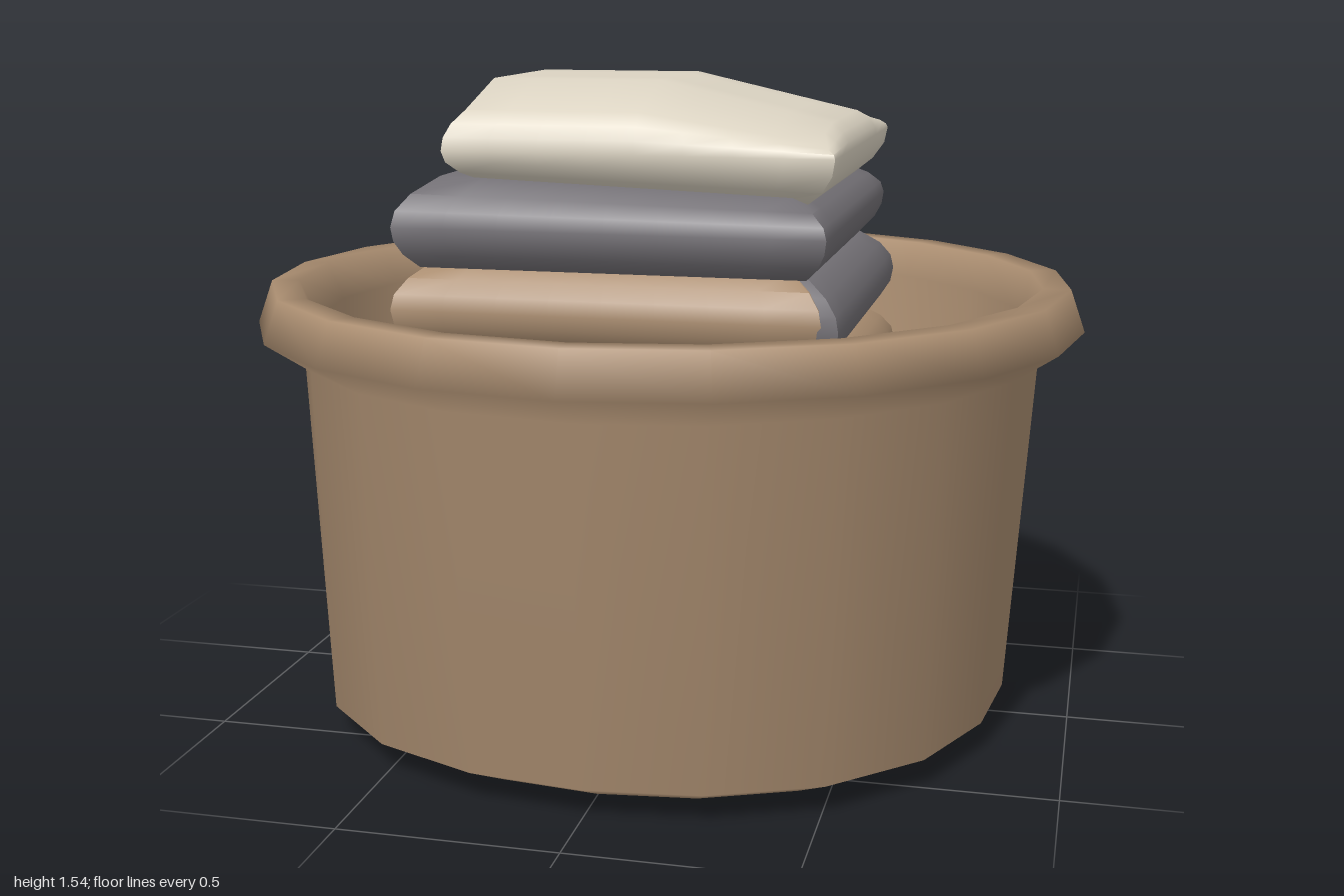
import * as THREE from 'three';
import { mergeVertices, toCreasedNormals } from 'three/addons/utils/BufferGeometryUtils.js';

const brown = new THREE.MeshStandardMaterial({ name: 'warm brown', color: 0xab8e71 });
const grey = new THREE.MeshStandardMaterial({ name: 'slate grey', color: 0x737075 });
const cream = new THREE.MeshStandardMaterial({ name: 'cream', color: 0xdbd3c2 });

// Soft folded towel: a box drawn in towards its bottom and top (inset),
// with optional rules that bend it in height and push it in depth.
function towel(name, material, { x, y, z, inset = [0.07, 0.08], bend = () => 0, push = () => 0 }) {
  let geo = new THREE.BoxGeometry(2, 2, 2, 8, 6, 8);
  geo.deleteAttribute('normal');
  geo.deleteAttribute('uv');
  geo = mergeVertices(geo);
  const p = geo.attributes.position;
  const w = (x[1] - x[0]) / 2, h = (y[1] - y[0]) / 2, d = (z[1] - z[0]) / 2;
  for (let i = 0; i < p.count; i++) {
    const u = p.getX(i), v = p.getY(i), t = p.getZ(i);
    const shrink = inset[v > 0 ? 1 : 0] * Math.abs(v) ** 2.2;
    p.setXYZ(i,
      (x[0] + x[1]) / 2 + u * (w - shrink),
      (y[0] + y[1]) / 2 + v * h + bend(u, v, t),
      (z[0] + z[1]) / 2 + t * (d - shrink) + push(u, v, t));
  }
  const mesh = new THREE.Mesh(toCreasedNormals(geo, 0.95), material);
  mesh.name = name;
  return mesh;
}

// Tub with a rolled rim and hollow inside; its foot is slightly squared
function makeTub() {
  const profile = [
    [0, 0], [0.71, 0.005], [0.84, 0.07], [0.895, 0.89], [1, 0.96], [0.965, 1.06],
    [0.9, 1.06], [0.86, 0.97], [0.81, 0.45], [0.66, 0.14], [0, 0.12],
  ].map(([r, y]) => new THREE.Vector2(r, y));
  const geo = new THREE.LatheGeometry(profile, 20);
  const p = geo.attributes.position;
  for (let i = 0; i < p.count; i++) {
    const ring = i % profile.length;
    if (ring !== 1 && ring !== 2) continue;
    const angle = Math.atan2(p.getX(i), p.getZ(i));
    const k = 1 + 0.0175 * (1 - Math.cos(4 * angle));
    p.setXYZ(i, p.getX(i) * k, p.getY(i), p.getZ(i) * k);
  }
  const tub = new THREE.Mesh(geo, brown);
  tub.name = 'tub';
  return tub;
}

export function createModel() {
  const model = new THREE.Group();
  model.name = 'towelBasket';
  model.add(makeTub());

  // Oval cloth lying on the floor of the tub
  const base = new THREE.Mesh(new THREE.CylinderGeometry(1, 0.97, 0.14, 20), brown);
  base.name = 'baseCloth';
  base.scale.set(0.61, 1, 0.67);
  base.position.set(-0.11, 0.19, 0.04);
  model.add(base);

  // Lower stack
  model.add(
    towel('lowestTowel', grey, { x: [-0.48, 0.46], y: [0.24, 0.42], z: [-0.45, 0.46] }),
    towel('lowTowel', brown, { x: [-0.5, 0.47], y: [0.4, 0.58], z: [-0.47, 0.45] }),
    towel('middleTowel', grey, { x: [-0.49, 0.46], y: [0.56, 0.75], z: [-0.46, 0.46] }),
  );

  // Fourth fold: brown at the back, grey swelling to a blunt point at the front
  model.add(
    towel('fourthTowelBack', brown, {
      x: [-0.58, 0.5], y: [0.74, 0.94], z: [-0.49, 0.42],
      push: (u, v, t) => (t < 0 ? -0.03 * u * t : 0),
    }),
    towel('fourthTowelFront', grey, {
      x: [-0.49, 0.5], y: [0.73, 0.93], z: [-0.36, 0.48],
      push: (u, v, t) => 0.12 * Math.max(0, t) * (1 - Math.abs(u - 0.25) / (u > 0.25 ? 0.75 : 1.25)),
    }),
  );

  // Third fold: brown on the right and front, grey showing on the left
  model.add(
    towel('thirdTowelRight', brown, { x: [-0.54, 0.45], y: [0.93, 1.14], z: [-0.47, 0.49] }),
    towel('thirdTowelLeft', grey, {
      x: [-0.25, 0.49], y: [0.92, 1.13], z: [-0.49, 0.45],
      push: (u, v, t) => 0.055 * Math.max(0, t) * Math.max(0, u) ** 3,
    }),
  );

  // Second towel
  model.add(towel('secondTowel', grey, {
    x: [-0.53, 0.46], y: [1.13, 1.32], z: [-0.49, 0.5], inset: [0.05, 0.09],
    bend: (u, v) => (v > 0 ? -0.015 * u * v : 0),
  }));

  // Top towel: puffed across its depth, sloping down to the left
  model.add(towel('topTowel', cream, {
    x: [-0.42, 0.47], y: [1.3, 1.49], z: [-0.46, 0.46], inset: [0.08, 0.045],
    bend: (u, v, t) => {
      const slope = u < 0 ? 0.045 : 0.045 - 0.09 * u;
      const dome = -0.12 * Math.max(0, Math.abs(t) - 0.5) * (1 - 0.5 * Math.max(0, u));
      return v > 0 ? v * (slope + dome + 0.01) : 0.02 * u * v;
    },
  }));

  return model;
}
